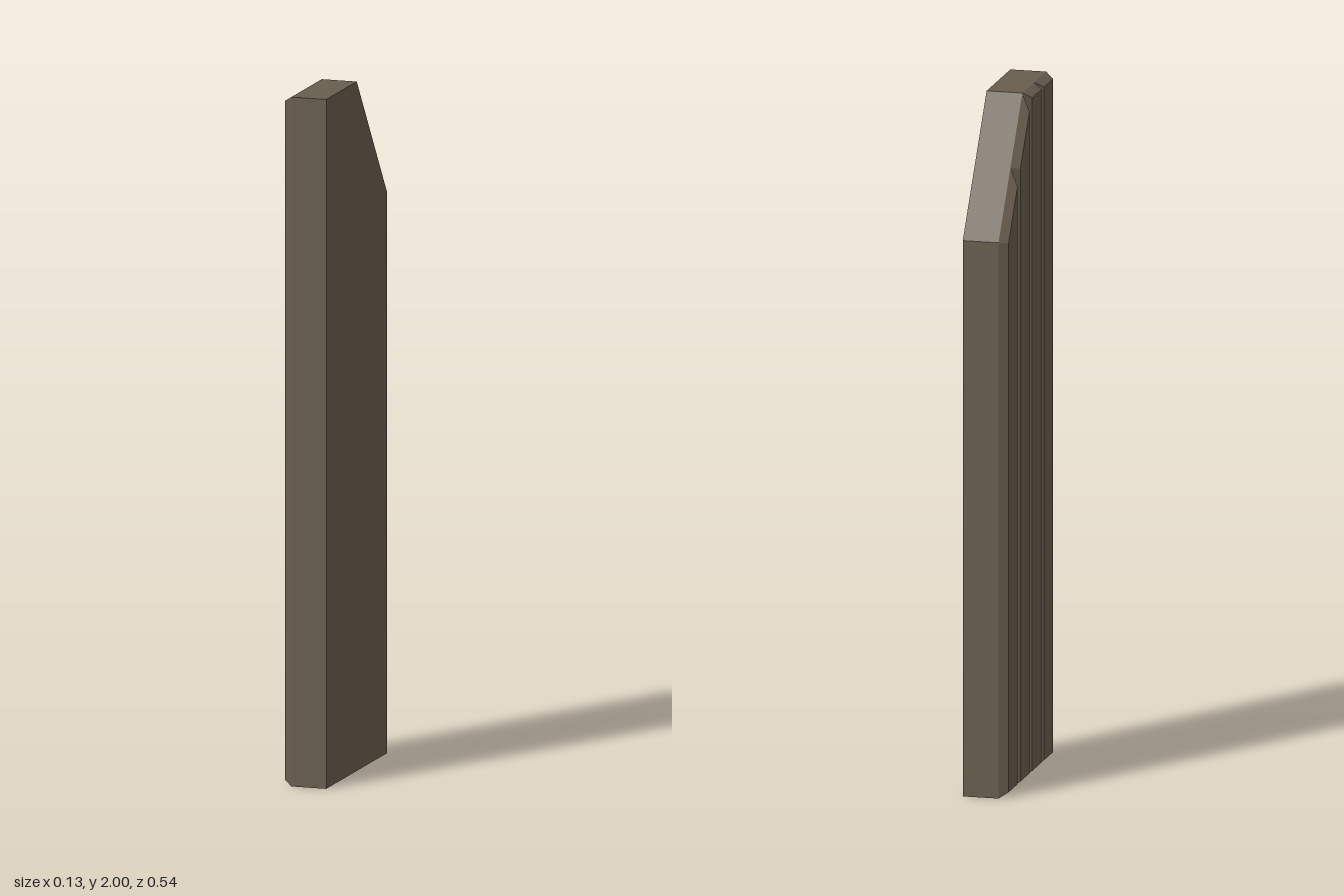
import * as THREE from 'three';

const BACK = 0.065, SEAM = -0.04, FACE = -0.065; // x of flat back, groove bottoms, board faces
const HALF = 0.27, BOARDS = 4, CHAMFER = 0.016;

// Height of the panel's top edge: level at the front, sloping down to the rear
const topAt = (z) => (z >= 0 ? 2 : 2 + (z * 0.375) / HALF);

// Shrinks a counter-clockwise outline evenly by d
function inset(loop, d) {
  const normal = (a, b) => new THREE.Vector2(a.y - b.y, b.x - a.x).normalize();
  return loop.map((p, i) => {
    const prev = loop[(i + loop.length - 1) % loop.length];
    const n1 = normal(prev, p), n2 = normal(p, loop[(i + 1) % loop.length]);
    return p.clone().addScaledVector(n1.clone().add(n2), d / (1 + n1.dot(n2)));
  });
}

// Walls between two (z, y) outlines plus a cap on the second one
function loft(a, xa, b, xb) {
  const pos = [];
  const tri = (...pts) => pts.forEach(([p, x]) => pos.push(x, p.y, p.x));
  a.forEach((p, i) => {
    const j = (i + 1) % a.length;
    tri([p, xa], [a[j], xa], [b[j], xb]);
    tri([p, xa], [b[j], xb], [b[i], xb]);
    if (i > 0 && j > 0) tri([b[0], xb], [b[i], xb], [b[j], xb]);
  });
  const g = new THREE.BufferGeometry();
  g.setAttribute('position', new THREE.Float32BufferAttribute(pos, 3));
  g.computeVertexNormals();
  return g;
}

export function createModel() {
  const group = new THREE.Group();
  group.name = 'plankPanel';
  const wood = new THREE.MeshStandardMaterial({ color: 0x685e4e, flatShading: true });
  const add = (name, geometry) => {
    const mesh = new THREE.Mesh(geometry, wood);
    mesh.name = name;
    group.add(mesh);
  };
  const v = (z, y) => new THREE.Vector2(z, y);

  // Solid backing with the cut-off corner
  const outline = [v(-HALF, 0), v(HALF, 0), v(HALF, 2), v(0, 2), v(-HALF, topAt(-HALF))].reverse();
  add('backing', loft(outline, SEAM, outline, BACK));

  // Chamfered board faces, leaving V grooves between them
  const width = (2 * HALF) / BOARDS;
  for (let i = 0; i < BOARDS; i++) {
    const z0 = -HALF + i * width, z1 = z0 + width;
    const board = [v(z0, 0), v(z1, 0), v(z1, topAt(z1)), v(z0, topAt(z0))];
    add(`boardFace${i + 1}`, loft(board, SEAM, inset(board, CHAMFER), FACE));
  }
  return group;
}
